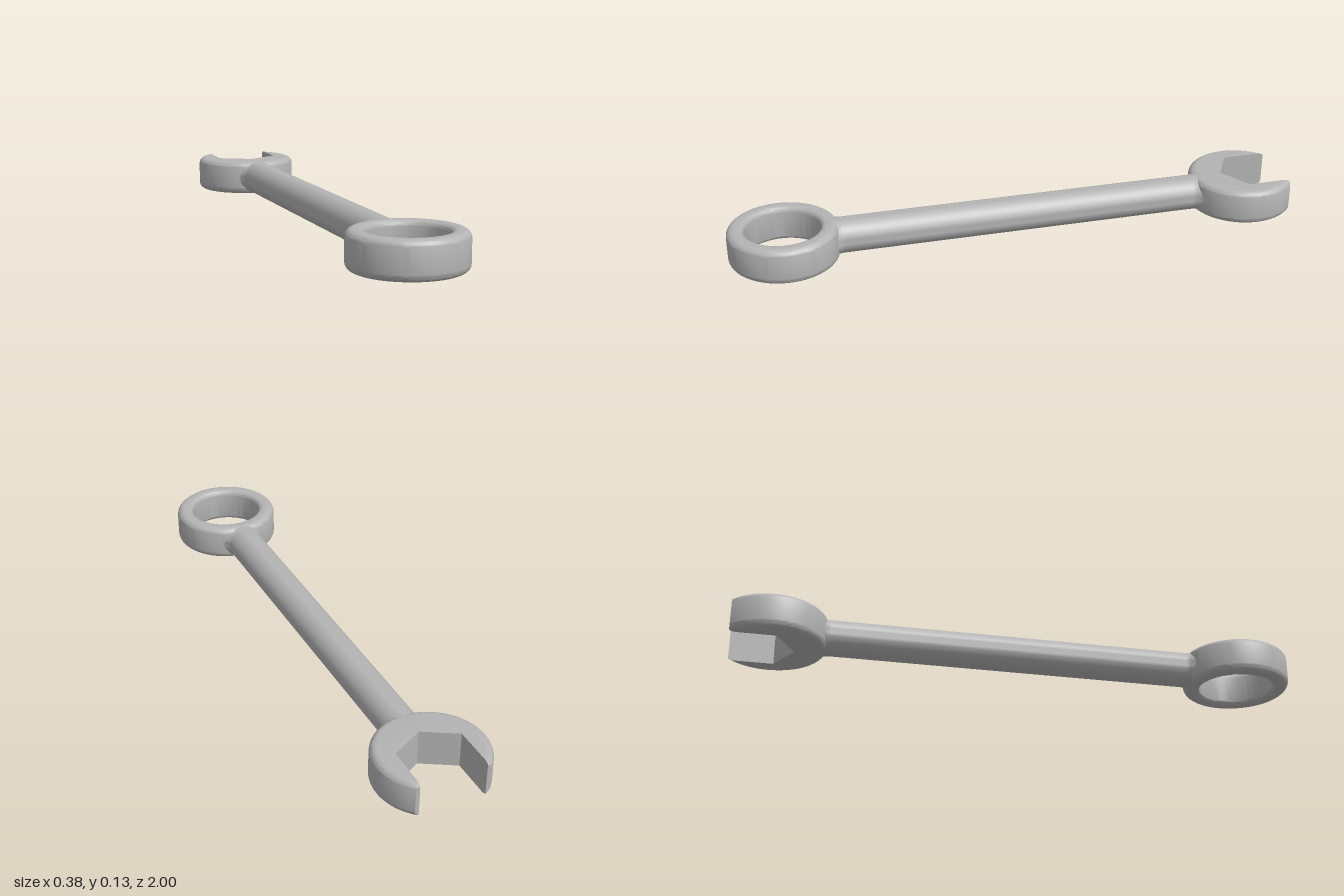
import * as THREE from 'three';
import { toCreasedNormals } from 'three/addons/utils/BufferGeometryUtils.js';

const BOTTOM = 0.001, TOP = 0.127, MID = (TOP + BOTTOM) / 2;
const OUTER = 0.19, HANDLE_R = 0.0625;

// Quarter-round corner as [radius, y] points
function corner(cx, cy, r, startAngle, steps = 6) {
  return Array.from({ length: steps + 1 }, (_, i) => {
    const a = startAngle + (i / steps) * Math.PI / 2;
    return new THREE.Vector2(cx + r * Math.cos(a), cy + r * Math.sin(a));
  });
}

// Rounded outer wall, running from the bottom face to the top face
const outerWall = () => [
  ...corner(OUTER - 0.025, BOTTOM + 0.025, 0.025, -Math.PI / 2),
  ...corner(OUTER - 0.025, TOP - 0.025, 0.025, 0),
];

// Closed ring with rounded edges
function ringGeometry() {
  const inner = 0.13, r = 0.018;
  const profile = [
    ...outerWall(),
    ...corner(inner + r, TOP - r, r, Math.PI / 2),
    ...corner(inner + r, BOTTOM + r, r, Math.PI),
  ];
  profile.push(profile[0].clone());
  return toCreasedNormals(new THREE.LatheGeometry(profile, 72).toNonIndexed(), 0.7);
}

// Open jaw: round outside, sharp notch, stacked from outlines (v points backwards)
function jawGeometry() {
  const centre = 0.86, half = 0.115, cut = 0.14, arcSteps = 60;
  const outline = (r) => {
    const tip = r * r - cut * cut > half * half
      ? new THREE.Vector2(Math.sqrt(r * r - cut * cut), cut)
      : new THREE.Vector2(half, Math.sqrt(r * r - half * half));
    const a = Math.atan2(tip.y, tip.x);
    const pts = [];
    for (let i = 0; i <= arcSteps; i++) {
      const t = Math.PI - a + (i / arcSteps) * (Math.PI + 2 * a);
      pts.push(new THREE.Vector2(r * Math.cos(t), centre + r * Math.sin(t)));
    }
    for (const [x, v] of [[half, centre + tip.y], [half, 0.845], [0, 0.78], [-half, 0.845], [-half, centre + tip.y]]) {
      pts.push(new THREE.Vector2(x, v));
    }
    return pts;
  };
  const wall = outerWall();
  const layers = wall.map((p) => outline(p.x));
  const n = layers[0].length;
  const positions = [], index = [];
  layers.forEach((pts, j) => pts.forEach((p) => positions.push(p.x, wall[j].y, -p.y)));
  for (let j = 0; j < layers.length - 1; j++) {
    for (let i = 0; i < n; i++) {
      const k = (i + 1) % n, a = j * n + i, b = j * n + k;
      index.push(a, b, b + n, a, b + n, a + n);
    }
  }
  // Flat top and bottom faces
  const last = (layers.length - 1) * n;
  for (const [a, b, c] of THREE.ShapeUtils.triangulateShape(layers[0], [])) {
    index.push(last + a, last + b, last + c, c, b, a);
  }
  const g = new THREE.BufferGeometry();
  g.setAttribute('position', new THREE.Float32BufferAttribute(positions, 3));
  g.setIndex(index);
  return toCreasedNormals(g.toNonIndexed(), 0.6);
}

// Round bar whose ends widen sideways into the heads
function handleGeometry() {
  const back = -0.7, front = 0.65, flare = 0.045, steps = 6;
  const stations = [];
  for (let i = 0; i <= steps; i++) stations.push(back + (i / steps) * flare);
  for (let i = 0; i <= steps; i++) stations.push(front - flare + (i / steps) * flare);
  const g = new THREE.LatheGeometry(stations.map((z) => new THREE.Vector2(HANDLE_R, z)), 40);
  g.rotateX(Math.PI / 2);
  const p = g.attributes.position;
  for (let i = 0; i < p.count; i++) {
    const z = p.getZ(i);
    const t = Math.max(0, (back + flare - z) / flare, (z - front + flare) / flare);
    p.setX(i, p.getX(i) * (1 + 0.5 * t * t));
  }
  return toCreasedNormals(g.toNonIndexed(), 0.7);
}

export function createModel() {
  const steel = new THREE.MeshStandardMaterial({ color: 0xb4b4b4 });
  steel.name = 'steel grey';
  const group = new THREE.Group();
  group.name = 'combinationWrench';

  const add = (name, geometry, y, z) => {
    const mesh = new THREE.Mesh(geometry, steel);
    mesh.name = name;
    mesh.position.set(0, y, z);
    group.add(mesh);
  };

  add('ringHead', ringGeometry(), 0, 0.81);
  add('openJaw', jawGeometry(), 0, 0);
  add('handle', handleGeometry(), MID, 0);
  return group;
}
